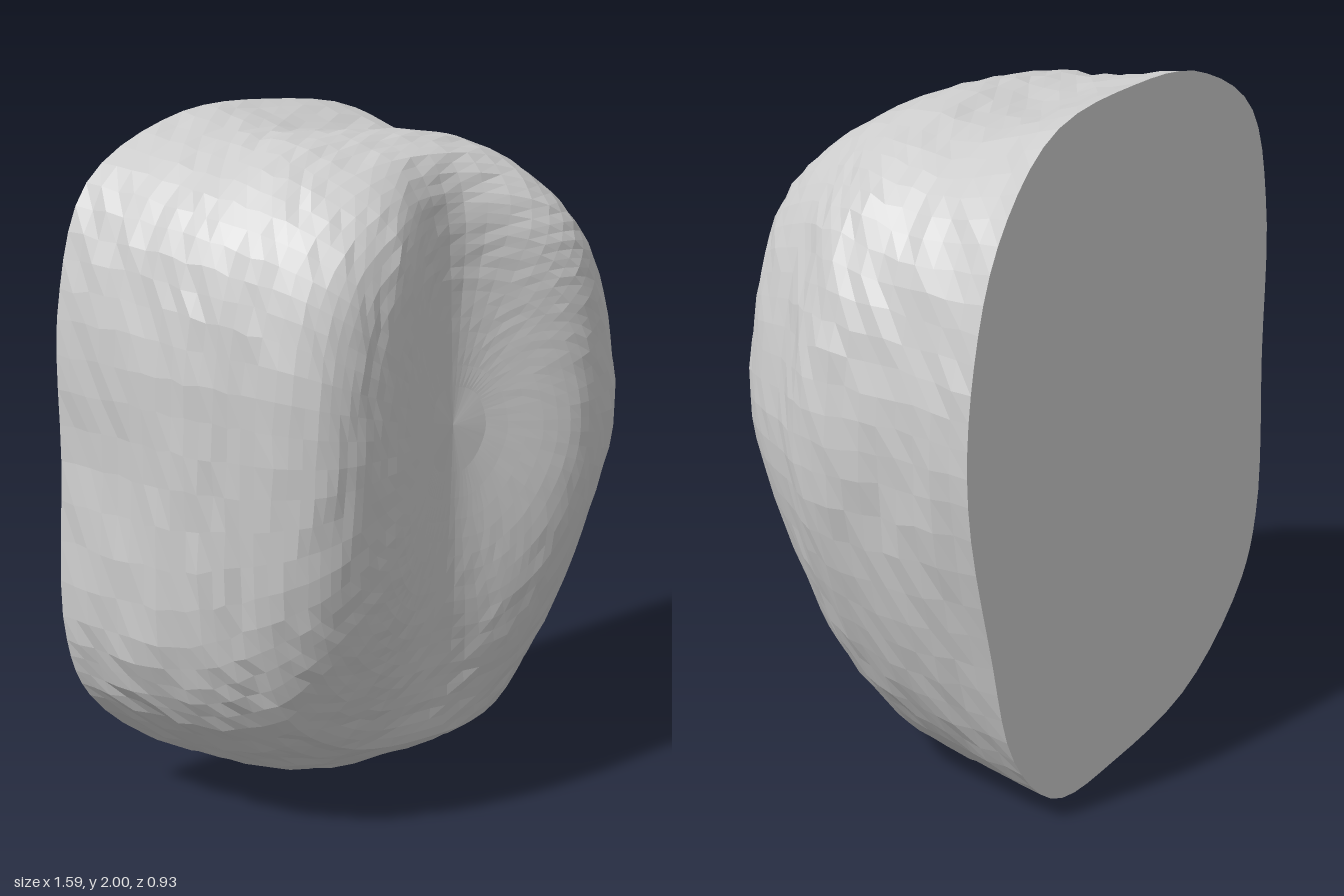
import * as THREE from 'three';

// Outlines from back to front, 16 matching [x, y] points each, starting at +x
const OUTLINES = [
  { z: -0.47, p: [[0.76, 1.05], [0.74, 1.38], [0.63, 1.7], [0.4, 1.93], [0, 2], [-0.35, 1.98], [-0.66, 1.82], [-0.77, 1.5],
    [-0.78, 1.05], [-0.79, 0.55], [-0.71, 0.33], [-0.4, 0.09], [0.03, 0.015], [0.34, 0.03], [0.55, 0.24], [0.66, 0.6]] },
  { z: -0.2, p: [[0.76, 1.05], [0.73, 1.4], [0.62, 1.68], [0.4, 1.86], [0, 1.93], [-0.35, 1.94], [-0.62, 1.79], [-0.74, 1.5],
    [-0.76, 1.05], [-0.77, 0.55], [-0.67, 0.33], [-0.38, 0.11], [0.02, 0.05], [0.32, 0.06], [0.54, 0.26], [0.69, 0.6]] },
  { z: 0.03, p: [[0.79, 1.05], [0.74, 1.42], [0.6, 1.72], [0.38, 1.88], [0, 1.95], [-0.35, 1.92], [-0.59, 1.76], [-0.7, 1.48],
    [-0.73, 1.05], [-0.72, 0.57], [-0.61, 0.34], [-0.35, 0.15], [0, 0.09], [0.3, 0.11], [0.52, 0.31], [0.69, 0.64]] },
  { z: 0.2, p: [[0.7, 1.05], [0.65, 1.42], [0.53, 1.7], [0.33, 1.85], [0, 1.9], [-0.31, 1.86], [-0.52, 1.71], [-0.62, 1.45],
    [-0.65, 1.05], [-0.64, 0.65], [-0.54, 0.4], [-0.32, 0.25], [0, 0.19], [0.28, 0.21], [0.47, 0.39], [0.62, 0.7]] },
];

// Depth of the front across x: two lobes with a broad vertical hollow between
const FRONT = [[-0.8, 0.38], [-0.54, 0.41], [-0.32, 0.4], [0, 0.28], [0.41, 0.465], [0.55, 0.46], [0.8, 0.42]];
function frontDepth(x) {
  let i = 0;
  while (i < FRONT.length - 2 && x > FRONT[i + 1][0]) i++;
  const [a, za] = FRONT[i], [b, zb] = FRONT[i + 1];
  return THREE.MathUtils.lerp(za, zb, THREE.MathUtils.smoothstep(x, a, b));
}

const SEG = 72, SIDE = 14, CAP = 20;
const CENTRE = new THREE.Vector2(0.02, 1.15);

// Small repeatable unevenness for the hewn surface
function rough(a, b) {
  const s = Math.sin(a * 12.99 + b * 78.23) * 43758.55;
  return (s - Math.floor(s) - 0.5) * 0.012;
}

function meshFrom(name, rings, material) {
  const pos = [], index = [];
  rings.forEach((r) => r.forEach((v) => pos.push(v.x, v.y, v.z)));
  for (let j = 0; j < rings.length - 1; j++) {
    for (let i = 0; i < SEG; i++) {
      const k = (i + 1) % SEG;
      const a = j * SEG + i, b = j * SEG + k, c = a + SEG, d = b + SEG;
      index.push(a, b, d, a, d, c);
    }
  }
  const geo = new THREE.BufferGeometry();
  geo.setAttribute('position', new THREE.Float32BufferAttribute(pos, 3));
  geo.setIndex(index);
  geo.computeVertexNormals();
  const mesh = new THREE.Mesh(geo, material);
  mesh.name = name;
  return mesh;
}

export function createModel() {
  const group = new THREE.Group();
  group.name = 'hollowedBlock';
  const material = new THREE.MeshStandardMaterial({ color: 0xcccccc, flatShading: true });

  // Smooth each outline, then run a curve from back to front through them
  const loops = OUTLINES.map(({ z, p }) => {
    const curve = new THREE.CatmullRomCurve3(p.map(([x, y]) => new THREE.Vector3(x, y, z)), true, 'centripetal');
    return Array.from({ length: SEG }, (_, i) => curve.getPoint(i / SEG));
  });
  const ribs = Array.from({ length: SEG }, (_, i) => new THREE.CatmullRomCurve3(loops.map((l) => l[i])));

  // Side wall
  const wall = [];
  for (let j = 0; j <= SIDE; j++) {
    wall.push(ribs.map((rib, i) => {
      const v = rib.getPoint(j / SIDE);
      if (j > 0 && j < SIDE) {
        v.x += rough(i, j);
        v.y += rough(j, i + 7);
      }
      return v;
    }));
  }
  group.add(meshFrom('sideWall', wall, material));

  // Front face: full shoulders at the top and sides, a long slope at the bottom
  const rim = wall[SIDE];
  const face = [];
  for (let j = 0; j <= CAP; j++) {
    const u = Math.pow(1 - j / CAP, 0.65);
    face.push(rim.map((r, i) => {
      const x = THREE.MathUtils.lerp(CENTRE.x, r.x, u);
      const y = THREE.MathUtils.lerp(CENTRE.y, r.y, u);
      const down = Math.max(0, -Math.sin(Math.atan2(r.y - CENTRE.y, r.x - CENTRE.x)));
      const shoulder = 1 - Math.pow(u, 8 - 5.5 * down);
      const bump = j > 0 ? rough(i + 3, j) * u * u : 0;
      return new THREE.Vector3(x, y, r.z + (frontDepth(x) - r.z) * shoulder + bump);
    }));
  }
  group.add(meshFrom('frontFace', face, material));

  // Flat back
  const hub = new THREE.Vector3(CENTRE.x, CENTRE.y, OUTLINES[0].z);
  group.add(meshFrom('flatBack', [wall[0].map(() => hub), wall[0]], material));

  // Settle on the ground, centred in x and z
  const box = new THREE.Box3().setFromObject(group);
  const mid = box.getCenter(new THREE.Vector3());
  group.children.forEach((m) => m.geometry.translate(-mid.x, -box.min.y, -mid.z));
  return group;
}
